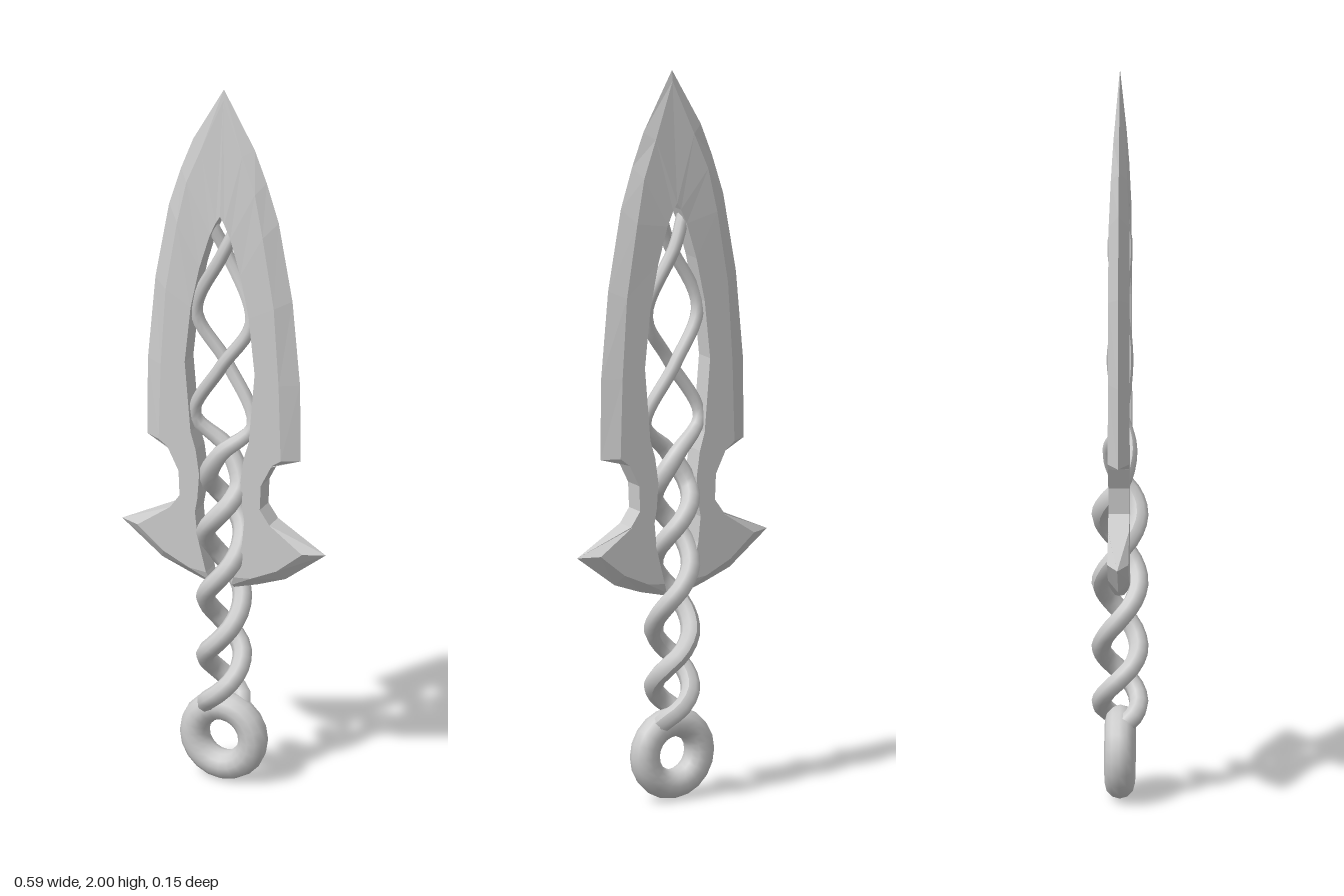
import * as THREE from 'three';

const grey = () => new THREE.MeshStandardMaterial({ color: 0xcccccc });
const H = 0.028; // half thickness of the blade

// Blade stations from tip to guard: outer edge (x, y, half z), flat rim (x, y, half z), opening (x, y)
const stations = [
  [0, 2, 0, 0, 1.97, 0.003, 0, 1.64],
  [0.09, 1.84, 0, 0.06, 1.82, 0.016, 0.012, 1.62],
  [0.125, 1.75, 0, 0.1, 1.72, 0.022, 0.03, 1.58],
  [0.16, 1.64, 0, 0.125, 1.6, 0.027, 0.06, 1.48],
  [0.2, 1.42, 0, 0.158, 1.4, H, 0.085, 1.36],
  [0.222, 1.18, 0, 0.172, 1.18, H, 0.102, 1.2],
  [0.224, 0.96, 0, 0.178, 0.962, H, 0.085, 1.0],
  [0.15, 0.94, H, 0.148, 0.942, H, 0.07, 0.95],
  [0.12, 0.88, H, 0.118, 0.88, H, 0.06, 0.88],
  [0.117, 0.81, H, 0.115, 0.81, H, 0.065, 0.81],
  [0.145, 0.77, H, 0.143, 0.768, H, 0.072, 0.77],
  [0.297, 0.7, 0, 0.24, 0.702, H, 0.065, 0.7],
  [0.18, 0.61, 0, 0.165, 0.64, H, 0.05, 0.64],
  [0.1, 0.58, 0, 0.09, 0.605, H, 0.04, 0.6],
  [0.035, 0.565, 0.012, 0.034, 0.575, 0.02, 0.03, 0.575],
];

// Sweeps the six-point section down the stations; side = 1 or -1 mirrors it
function bladeHalf(side) {
  const pos = [], index = [];
  for (const [ex, ey, ez, fx, fy, fz, hx, hy] of stations) {
    const hz = Math.max(fz, ey > 1.7 ? H - 0.002 : fz);
    for (const [x, y, z] of [[ex, ey, ez], [fx, fy, fz], [hx, hy, hz],
      [hx, hy, -hz], [fx, fy, -fz], [ex, ey, -ez]]) pos.push(x * side, y, z);
  }
  const tri = (a, b, c) => (side > 0 ? index.push(a, b, c) : index.push(a, c, b));
  const last = (stations.length - 1) * 6;
  for (let i = 0; i < last; i += 6) {
    for (let j = 0; j < 6; j++) {
      const k = (j + 1) % 6;
      tri(i + j, i + k, i + 6 + k);
      tri(i + j, i + 6 + k, i + 6 + j);
    }
  }
  for (let j = 1; j < 5; j++) tri(last, last + j, last + j + 1); // end cap
  const geo = new THREE.BufferGeometry();
  geo.setAttribute('position', new THREE.Float32BufferAttribute(pos, 3));
  geo.setIndex(index);
  const flat = geo.toNonIndexed();
  flat.computeVertexNormals();
  const mat = grey();
  mat.flatShading = true;
  return new THREE.Mesh(flat, mat);
}

// Quarter-turn heights with the x and z reach of the twist at each crossing and bulge
const twist = [ // y, reach
  [0.2, 0.045], [0.26, 0.05], [0.335, 0.048], [0.41, 0.05], [0.5, 0.048], [0.59, 0.05],
  [0.685, 0.048], [0.775, 0.05], [0.865, 0.046], [0.95, 0.024], [1.04, 0.085],
  [1.2, 0.018], [1.34, 0.08], [1.52, 0.016], [1.6, 0.035],
];

// One strand: a helix through the grip that opens into the crossing tracery
function strand(phase) {
  const pts = twist.map(([y, r], i) => {
    const a = phase + (i - 5) * Math.PI / 2;
    return new THREE.Vector3(r * Math.sin(a), y, r * Math.cos(a));
  });
  // Extra points halfway round the grip keep the coil full
  const full = [];
  pts.forEach((p, i) => {
    full.push(p);
    if (i < 8) {
      const r = 0.05, a = phase + (i - 4.5) * Math.PI / 2;
      full.push(new THREE.Vector3(r * Math.sin(a), (p.y + pts[i + 1].y) / 2, r * Math.cos(a)));
    }
  });
  const curve = new THREE.CatmullRomCurve3(full);
  const segs = 72, sides = 8;
  const geo = new THREE.TubeGeometry(curve, segs, 0.026, sides, false);
  // Slim the tube above the grip
  const p = geo.attributes.position, v = new THREE.Vector3();
  for (let i = 0; i <= segs; i++) {
    const c = curve.getPointAt(i / segs);
    const f = 1 - 0.32 * THREE.MathUtils.smoothstep(c.y, 0.9, 1.05);
    for (let j = 0; j <= sides; j++) {
      const n = i * (sides + 1) + j;
      v.fromBufferAttribute(p, n).sub(c).multiplyScalar(f).add(c);
      p.setXYZ(n, v.x, v.y, v.z);
    }
  }
  geo.computeVertexNormals();
  const mat = grey();
  mat.side = THREE.DoubleSide;
  return new THREE.Mesh(geo, mat);
}

export function createModel() {
  const model = new THREE.Group();
  model.name = 'dagger';

  // Blade with its barbed guard
  const blade = new THREE.Group();
  blade.name = 'blade';
  for (const side of [1, -1]) {
    const half = bladeHalf(side);
    half.name = side > 0 ? 'leftBladeHalf' : 'rightBladeHalf';
    blade.add(half);
  }
  model.add(blade);

  // Twisted grip strands
  [0, Math.PI].forEach((phase, i) => {
    const s = strand(phase);
    s.name = i ? 'backStrand' : 'frontStrand';
    model.add(s);
  });

  // Pommel ring
  const ring = new THREE.Mesh(new THREE.TorusGeometry(0.085, 0.04, 12, 20), grey());
  ring.name = 'pommelRing';
  ring.position.y = 0.125;
  model.add(ring);

  return model;
}
